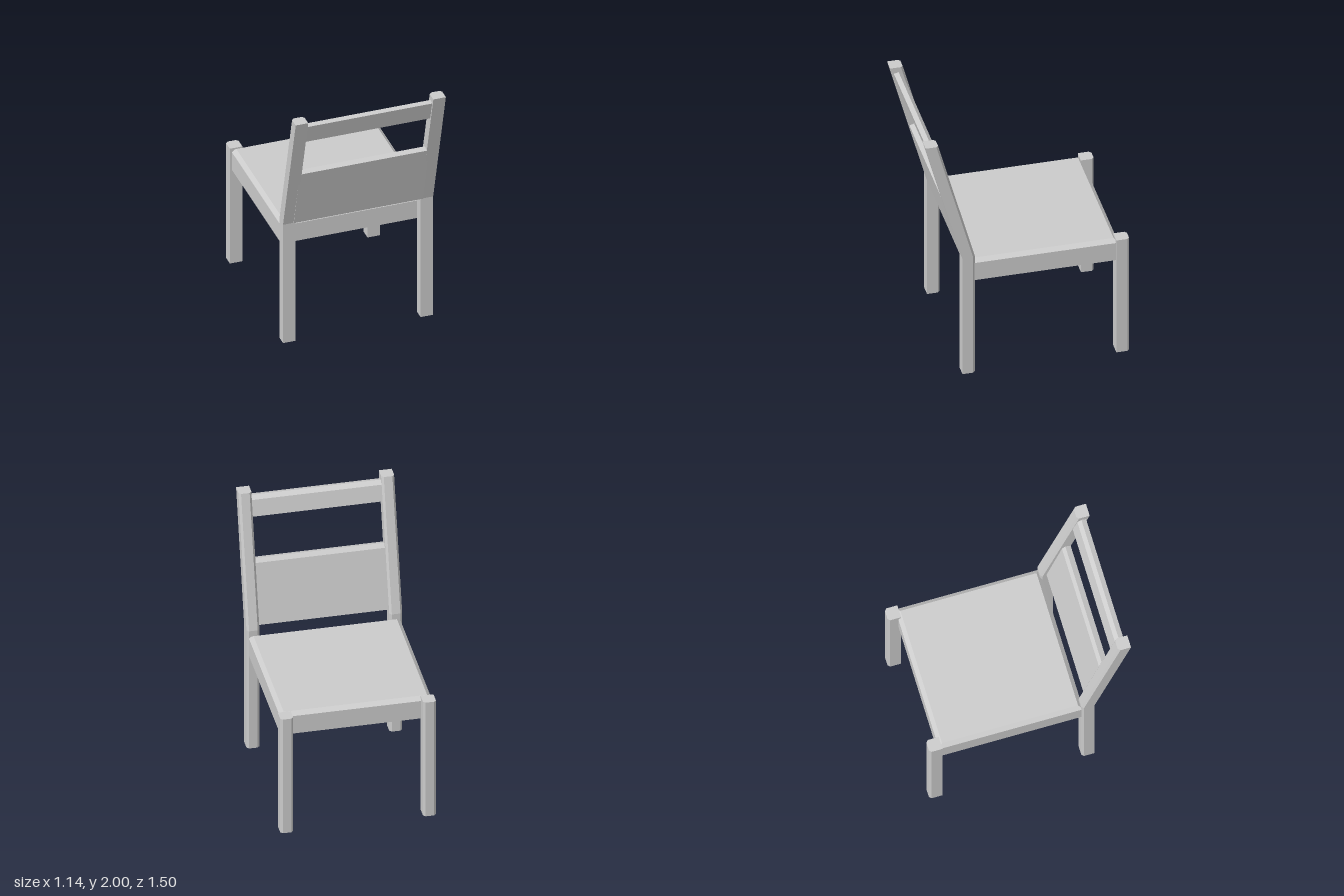
import * as THREE from 'three';

const material = new THREE.MeshStandardMaterial({ color: 0xcccccc, flatShading: true, side: THREE.DoubleSide });

// Skin through rings of [x, y, z] points, with optional end caps (convex rings)
function loft(name, rings, capStart = true, capEnd = true) {
  const pos = [];
  const n = rings[0].length;
  const tri = (...pts) => pts.forEach((p) => pos.push(...p));
  for (let r = 0; r < rings.length - 1; r++) {
    for (let i = 0; i < n; i++) {
      const j = (i + 1) % n;
      const [a, b, c, d] = [rings[r][i], rings[r][j], rings[r + 1][j], rings[r + 1][i]];
      tri(a, b, c);
      tri(a, c, d);
    }
  }
  const last = rings[rings.length - 1];
  for (let i = 1; i < n - 1; i++) {
    if (capStart) tri(rings[0][0], rings[0][i + 1], rings[0][i]);
    if (capEnd) tri(last[0], last[i], last[i + 1]);
  }
  const geometry = new THREE.BufferGeometry();
  geometry.setAttribute('position', new THREE.Float32BufferAttribute(pos, 3));
  geometry.computeVertexNormals();
  const mesh = new THREE.Mesh(geometry, material);
  mesh.name = name;
  return mesh;
}

// Leg outline at height y: square with the two -z corners chamfered
function legRing(side, y, z0, z1) {
  const x0 = 0.475, x1 = 0.57, c = 0.016;
  const ring = [
    [x0, z1], [x1, z1], [x1, z0 + c], [x1 - c, z0], [x0 + c, z0], [x0, z0 + c],
  ].map(([x, z]) => [side * x, y, z]);
  return side > 0 ? ring : ring.reverse();
}

// Horizontal rectangle of the seat shell, inset by d
function seatRing(y, d) {
  const x = 0.555 - d, z0 = -0.675 + d, z1 = 0.4 - d;
  return [[-x, y, z1], [x, y, z1], [x, y, z0], [-x, y, z0]];
}

// Slat across the back from a [y, z] section
function slat(name, halfWidth, section) {
  return loft(name, [-halfWidth, halfWidth].map((x) => section.map(([y, z]) => [x, y, z])));
}

export function createModel() {
  const chair = new THREE.Group();
  chair.name = 'chair';

  for (const side of [-1, 1]) {
    const label = side > 0 ? 'Left' : 'Right';
    // Short straight legs at the open end of the seat
    chair.add(loft('seatLeg' + label, [
      legRing(side, 0, -0.752, -0.655),
      legRing(side, 0.97, -0.752, -0.655),
    ]));
    // Tall legs that bend into the leaning back posts
    chair.add(loft('backPost' + label, [
      legRing(side, 0, 0.385, 0.48),
      legRing(side, 1, 0.385, 0.48),
      legRing(side, 2, 0.657, 0.752),
    ]));
  }

  // Rails and seat as one shell, open below, with a chamfered upper edge
  chair.add(loft('seat', [seatRing(0.79, 0), seatRing(0.938, 0), seatRing(0.965, 0.03)], false, true));

  // Wide back panel and top slat, chamfered along the seat-side upper edge
  chair.add(slat('backPanel', 0.49, [
    [1.0, 0.485], [1.015, 0.43], [1.47, 0.545], [1.497, 0.57], [1.483, 0.61],
  ]));
  chair.add(slat('topSlat', 0.48, [
    [1.8, 0.683], [1.815, 0.625], [1.935, 0.66], [1.96, 0.69], [1.95, 0.725],
  ]));

  return chair;
}
